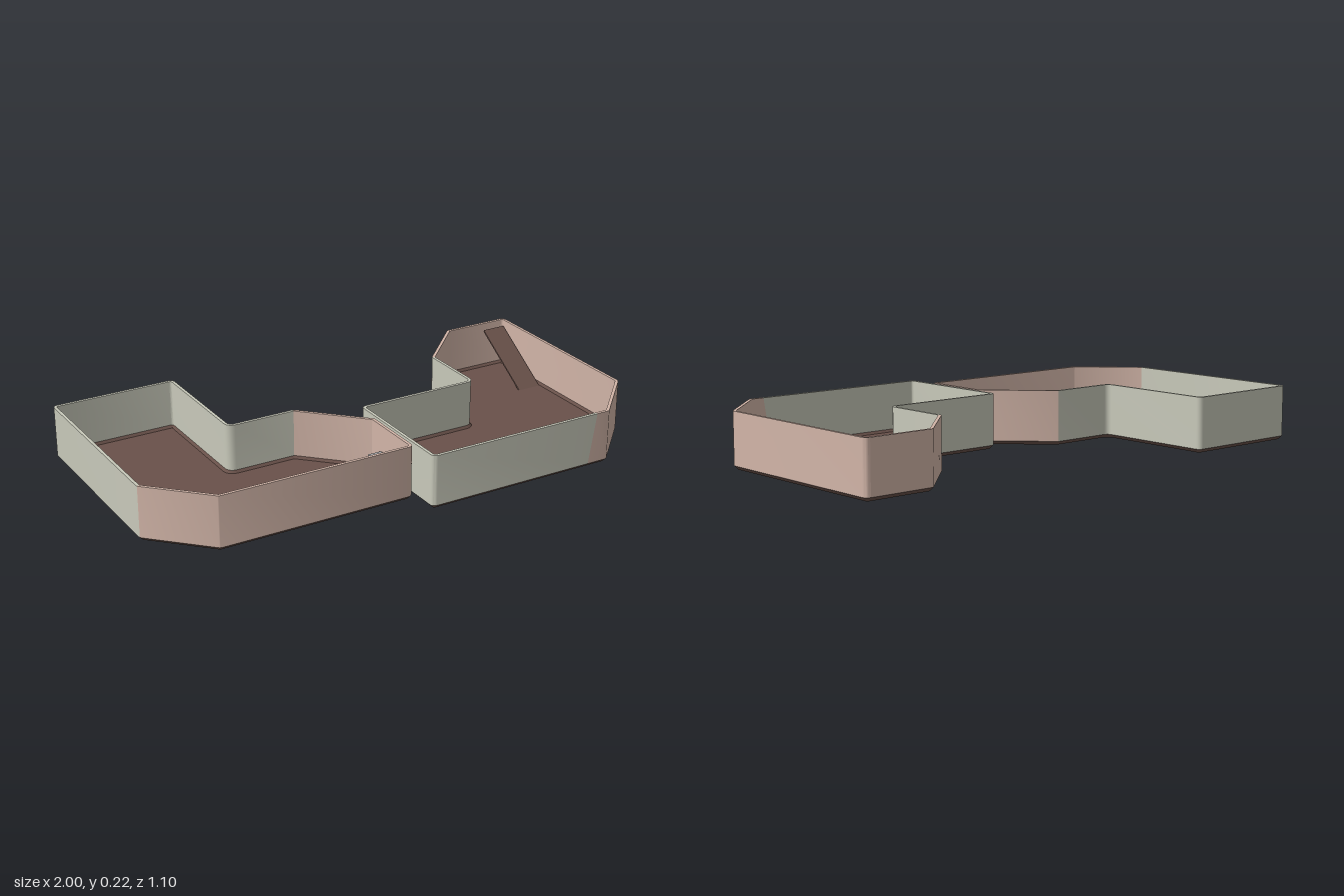
import * as THREE from 'three';
import { toCreasedNormals } from 'three/addons/utils/BufferGeometryUtils.js';

const mat = (name, color) => {
  const m = new THREE.MeshStandardMaterial({ color });
  m.name = name;
  return m;
};

const HEIGHT = 0.215, BASE = 0.015, FLOOR = 0.02;
const RADIUS = 0.02, THICK = 0.012;

// Cross-sections as [inset from the outline, height], running from outside to inside
const WALL = [[0, BASE], [0, HEIGHT], [THICK, HEIGHT], [THICK, 0.03]];
const CHAMFER = [[0.015, 0], [0, BASE]];
const SKIRTING = [[THICK, 0.03], [0.02, FLOOR]];

// Corners are [x, z, paint of the wall that starts here, lean of a slanted paint joint]
function outline(corners) {
  const n = corners.length, stations = [];
  corners.forEach(([x, z, paint, lean = 0], i) => {
    const prev = corners[(i + n - 1) % n], next = corners[(i + 1) % n];
    const d1 = new THREE.Vector2(x - prev[0], z - prev[1]).normalize();
    const d2 = new THREE.Vector2(next[0] - x, next[1] - z).normalize();
    const turn = Math.atan2(d1.cross(d2), d1.dot(d2));
    if (Math.abs(turn) < 0.01) {
      stations.push({ x, z, nx: d1.y, nz: -d1.x, paint, lean });
      return;
    }
    // Rounded corner, the paint changes halfway round
    const s = Math.sign(turn), t = RADIUS * Math.tan(Math.abs(turn) / 2);
    const cx = x - d1.x * t - d1.y * RADIUS * s;
    const cz = z - d1.y * t + d1.x * RADIUS * s;
    for (let k = 0; k <= 4; k++) {
      const d = d1.clone().rotateAround(new THREE.Vector2(), turn * k / 4);
      stations.push({
        x: cx + d.y * RADIUS * s, z: cz - d.x * RADIUS * s,
        nx: d.y, nz: -d.x, paint: k < 2 ? prev[2] : paint, lean: 0,
      });
    }
  });
  return stations;
}

const place = (s, [inset, y]) => [
  s.x - s.nx * inset + s.lean * (1 - y / HEIGHT), y, s.z - s.nz * inset,
];

// Sweeps a cross-section round the outline, optionally only where one paint applies
function sweep(stations, profile, paint) {
  const pos = [];
  stations.forEach((a, i) => {
    if (paint && a.paint !== paint) return;
    const b = stations[(i + 1) % stations.length];
    for (let k = 0; k < profile.length - 1; k++) {
      const p = place(a, profile[k]), q = place(a, profile[k + 1]);
      const r = place(b, profile[k + 1]), s = place(b, profile[k]);
      pos.push(...p, ...q, ...r, ...p, ...r, ...s);
    }
  });
  const g = new THREE.BufferGeometry();
  g.setAttribute('position', new THREE.Float32BufferAttribute(pos, 3));
  return toCreasedNormals(g, 0.5);
}

// Flat sheet filling the outline, facing up or down
function sheet(stations, inset, y, up) {
  const pts = stations.map((s) => {
    const [x, , z] = place(s, [inset, y]);
    return new THREE.Vector2(x, up ? -z : z);
  });
  return new THREE.ShapeGeometry(new THREE.Shape(pts))
    .rotateX(up ? -Math.PI / 2 : Math.PI / 2).translate(0, y, 0);
}

export function createModel() {
  const pink = mat('pink plaster', 0xd2b5a8);
  const sage = mat('sage plaster', 0xc8c9ba);
  const brown = mat('brown floor', 0x69514a);
  const grey = mat('grey doorway', 0xa0a1a3);
  const root = new THREE.Group();
  root.name = 'roomShells';

  const add = (parent, name, geometry, material) => {
    const m = new THREE.Mesh(geometry, material);
    m.name = name;
    parent.add(m);
    return m;
  };

  const room = (name, corners) => {
    const g = new THREE.Group(), s = outline(corners);
    g.name = name;
    add(g, 'pinkWalls', sweep(s, WALL, 'pink'), pink);
    add(g, 'sageWalls', sweep(s, WALL, 'sage'), sage);
    add(g, 'baseChamfer', sweep(s, CHAMFER), brown);
    add(g, 'skirting', sweep(s, SKIRTING), brown);
    add(g, 'floor', sheet(s, 0.02, FLOOR, true), brown);
    add(g, 'underside', sheet(s, 0.015, 0, false), brown);
    root.add(g);
    return g;
  };

  room('rightRoom', [
    [-1, -0.55, 'sage'], [-0.5, -0.55, 'sage'], [-0.5, -0.06, 'sage'],
    [-0.23, -0.06, 'pink'], [-0.007, 0.163, 'pink'], [-0.007, 0.44, 'pink'],
    [-0.79, 0.44, 'pink'], [-1, 0.23, 'sage'],
  ].map((c, i) => (i === 6 ? [c[0], c[1], 'pink'] : c)));

  const left = room('leftRoom', [
    [0.005, 0.045, 'sage'], [0.5, 0.045, 'sage'], [0.5, -0.23, 'pink'],
    [0.715, -0.445, 'pink'], [1, -0.445, 'pink'], [1, 0.34, 'pink'],
    [0.79, 0.55, 'pink'], [0.735, 0.55, 'sage', -0.035], [0.005, 0.55, 'sage'],
  ]);

  // Sloping ramp against the outer wall of the left room
  const ramp = new THREE.Shape([
    new THREE.Vector2(0.14, FLOOR), new THREE.Vector2(0.41, 0.195),
    new THREE.Vector2(0.41, 0.187), new THREE.Vector2(0.152, FLOOR),
  ]);
  const rampGeo = new THREE.ExtrudeGeometry(ramp, { depth: 0.1, bevelEnabled: false })
    .rotateY(Math.PI / 2).translate(0.877, 0, 0);
  add(left, 'ramp', rampGeo, brown);

  // Doorway block joining the two rooms
  add(root, 'doorway', new THREE.BoxGeometry(0.096, 0.09, 0.12), grey)
    .position.set(-0.027, FLOOR + 0.045, 0.29);

  return root;
}
